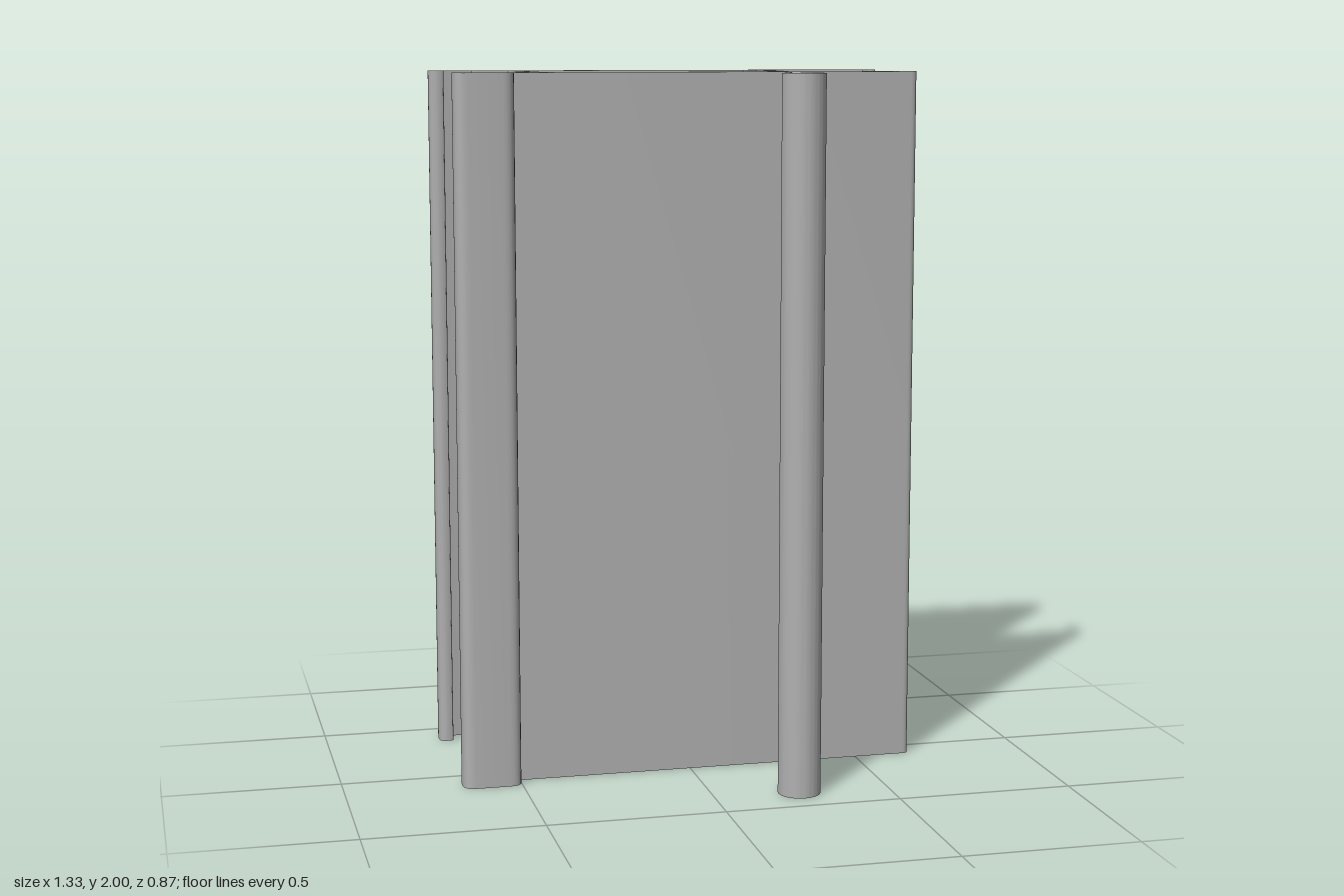
import * as THREE from 'three';
import { toCreasedNormals } from 'three/addons/utils/BufferGeometryUtils.js';

const HEIGHT = 2;
const MID = -0.153; // z of the plane midway between the two walls
const INNER = 0.209; // distance from that plane to the inside of a wall

const aluminium = new THREE.MeshStandardMaterial({ color: 0xb0b0b0 });
aluminium.name = 'plain aluminium';

// Closed outline through [x, z, radius] corners, each rounded by its radius
function roundedOutline(corners) {
  const shape = new THREE.Shape();
  const pts = corners.map(([x, z]) => new THREE.Vector2(x, -z));
  pts.forEach((p, i) => {
    const r = corners[i][2] || 0;
    const toward = (q) => p.clone().add(q.clone().sub(p).setLength(r));
    const a = toward(pts[(i + pts.length - 1) % pts.length]);
    const b = toward(pts[(i + 1) % pts.length]);
    if (i === 0) shape.moveTo(a.x, a.y);
    else shape.lineTo(a.x, a.y);
    if (r > 0) shape.quadraticCurveTo(p.x, p.y, b.x, b.y);
  });
  shape.closePath();
  return shape;
}

// Extrude a plan outline upward from y = 0
function extrusion(name, shape, curveSegments = 6) {
  const geometry = new THREE.ExtrudeGeometry(shape, { depth: HEIGHT, bevelEnabled: false, curveSegments });
  geometry.rotateX(-Math.PI / 2);
  const mesh = new THREE.Mesh(toCreasedNormals(geometry, 0.6), aluminium);
  mesh.name = name;
  return mesh;
}

// Wall with an inturned lip at +x and a hooked channel at -x;
// side is 1 for the front wall and -1 for the back
function wall(name, side) {
  const profile = [
    [0.665, 0.234, 0.02], [0.665, 0.152, 0.011], [0.642, 0.152, 0.011], [0.642, INNER, 0.005],
    [-0.543, INNER, 0.011], [-0.543, 0.231, 0.01], [-0.52, 0.231, 0.004],
    [-0.52, 0.262, 0.014], [-0.645, 0.262, 0.014], [-0.645, 0.231, 0.004],
    [-0.626, 0.231, 0.01], [-0.626, INNER, 0.01], [-0.667, INNER, 0.022],
    [-0.667, 0.287, 0.036], [-0.5, 0.287, 0.036], [-0.5, 0.234, 0],
  ];
  return extrusion(name, roundedOutline(profile.map(([x, d, r]) => [x, MID + side * d, r])));
}

// Cross web with filleted ends and a small groove on its outward side
function web(name, centre, outward) {
  const w = 0.013, f = 0.008, e = INNER - f;
  const profile = [
    [w + f, -INNER], [w, -e, 0.004], [w, -0.008], [w - 0.007, 0, 0.005], [w, 0.008],
    [w, e, 0.004], [w + f, INNER], [-w - f, INNER], [-w, e, 0.004], [-w, -e, 0.004], [-w - f, -INNER],
  ];
  return extrusion(name, roundedOutline(profile.map(([u, d, r]) => [centre + outward * u, MID + d, r])));
}

// Teardrop fin: straight on one side, hollow on the other, with a round nose
function fin() {
  const shape = new THREE.Shape();
  const root = -(MID + 0.234);
  shape.moveTo(0.277, root);
  shape.quadraticCurveTo(0.277, -0.212, 0.193, -0.343);
  shape.absarc(0.243, -0.375, 0.06, Math.PI - 0.57, Math.PI * 2, false);
  shape.lineTo(0.303, root);
  shape.closePath();
  return extrusion('gripFin', shape, 16);
}

export function createModel() {
  const model = new THREE.Group();
  model.name = 'extrudedProfile';
  model.add(
    wall('frontWall', 1),
    wall('backWall', -1),
    web('rightWeb', -0.417, -1),
    web('leftWeb', 0.29, 1),
    fin(),
  );
  return model;
}
